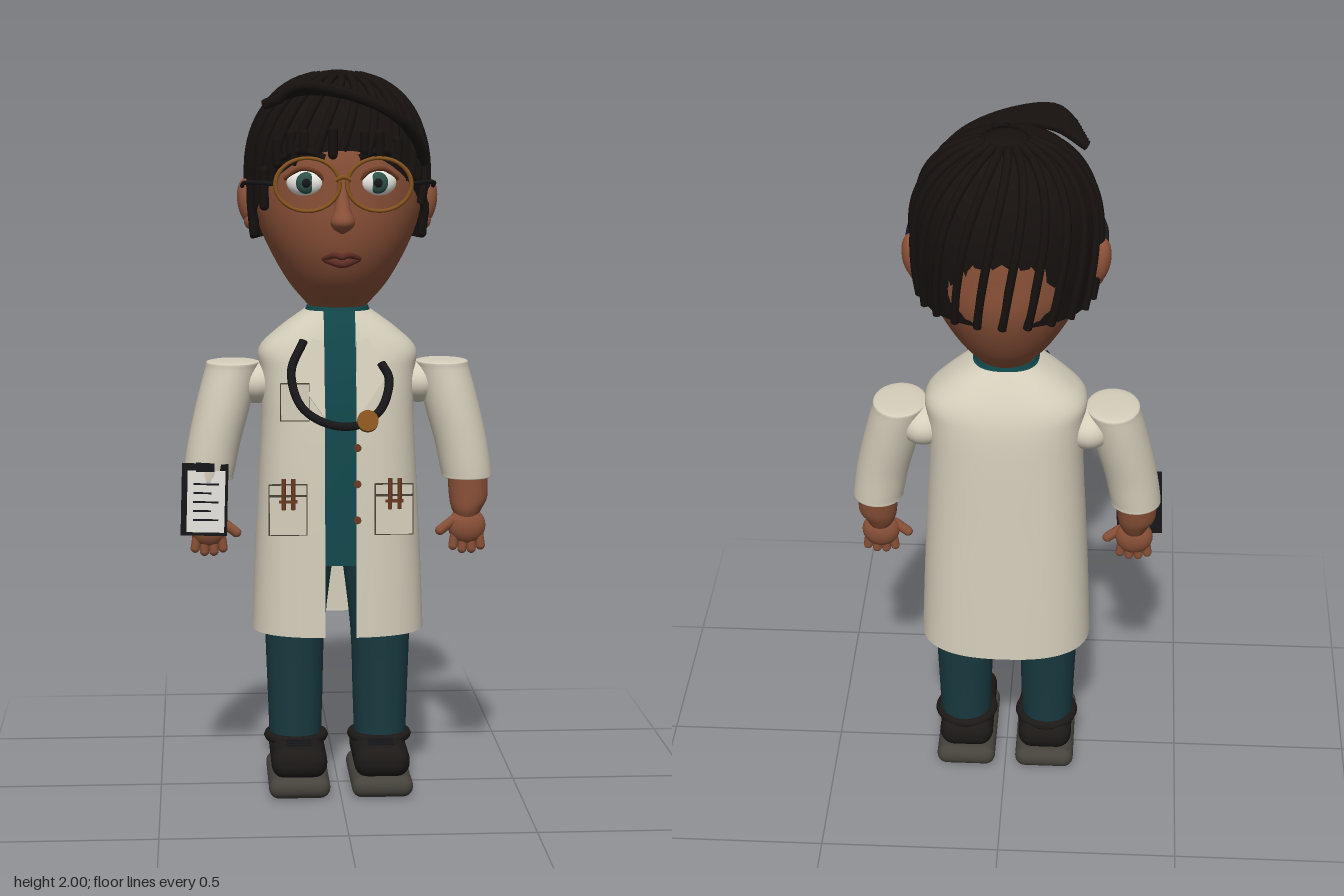
import * as THREE from 'three';
import { RoundedBoxGeometry } from 'three/addons/geometries/RoundedBoxGeometry.js';

const mat = (color) => new THREE.MeshStandardMaterial({ color, side: THREE.DoubleSide });
const M = {
  skin: mat(0x8a5138), coat: mat(0xd6cfbc), trim: mat(0x4a4438), shirt: mat(0x12484c), pants: mat(0x193a40),
  hair: mat(0x16110f), shoe: mat(0x1c1917), sole: mat(0x46433c), gold: mat(0x86541e), black: mat(0x17171a),
  white: mat(0xe8e6e0), iris: mat(0x2f5248), lip: mat(0x5c2a22), brown: mat(0x6b3a22),
};
const V = (x, y, z) => new THREE.Vector3(x, y, z);

export function createModel() {
  const model = new THREE.Group();
  const add = (name, geo, m, pos = [0, 0, 0], scale = [1, 1, 1], rot = [0, 0, 0], parent = model) => {
    const mesh = new THREE.Mesh(geo, m);
    mesh.name = name;
    mesh.position.set(...pos);
    mesh.scale.set(...scale);
    mesh.rotation.set(...rot);
    parent.add(mesh);
    return mesh;
  };
  const box = (w, h, d) => new THREE.BoxGeometry(w, h, d);
  const ball = new THREE.SphereGeometry(1, 24, 16);
  const tube = (pts, r, n = 24, sides = 8) =>
    new THREE.TubeGeometry(new THREE.CatmullRomCurve3(pts.map((p) => V(...p))), n, r, sides);

  // Grid surface from fn(u, v); u runs around, v upwards
  const surface = (fn, nu, nv, closed = true) => {
    const pos = [], idx = [], cols = closed ? nu : nu + 1;
    for (let j = 0; j <= nv; j++) for (let i = 0; i < cols; i++) pos.push(...fn(i / nu, j / nv));
    for (let j = 0; j < nv; j++) for (let i = 0; i < nu; i++) {
      const a = j * cols + i, b = j * cols + ((i + 1) % cols), c = a + cols, d = b + cols;
      idx.push(a, b, d, a, d, c);
    }
    const g = new THREE.BufferGeometry();
    g.setAttribute('position', new THREE.Float32BufferAttribute(pos, 3));
    g.setIndex(idx);
    g.computeVertexNormals();
    return g;
  };
  // Smooth interpolation through rows of numbers
  const along = (rows, v) => {
    const n = rows.length - 1, t = v * n, i = Math.min(Math.floor(t), n - 1), f = t - i;
    const at = (k) => rows[Math.min(Math.max(k, 0), n)];
    return rows[0].map((_, k) => {
      const [a, b, c, d] = [at(i - 1)[k], at(i)[k], at(i + 1)[k], at(i + 2)[k]];
      return b + 0.5 * f * (c - a + f * (2 * a - 5 * b + 4 * c - d + f * (3 * (b - c) + d - a)));
    });
  };
  // Loft through rings [cx, y, cz, rx, rz], listed upwards
  const loft = (rings, n = 28, steps = 4) => surface((u, v) => {
    const [cx, y, cz, rx, rz] = along(rings, v), t = u * Math.PI * 2;
    return [cx + rx * Math.sin(t), y, cz + rz * Math.cos(t)];
  }, n, (rings.length - 1) * steps);

  // Head and neck
  add('head', loft([
    [0, 1.33, -0.03, 0.06, 0.06], [0, 1.36, -0.03, 0.085, 0.09], [0, 1.42, -0.02, 0.135, 0.155],
    [0, 1.5, -0.02, 0.182, 0.2], [0, 1.58, -0.024, 0.217, 0.221], [0, 1.66, -0.025, 0.235, 0.223],
    [0, 1.76, -0.025, 0.235, 0.218], [0, 1.87, -0.025, 0.2, 0.18], [0, 1.95, -0.025, 0.12, 0.11], [0, 1.975, -0.025, 0, 0],
  ], 40), M.skin);
  add('neck', new THREE.CylinderGeometry(0.078, 0.09, 0.1, 24), M.skin, [0, 1.34, -0.03]);
  add('shirtCollar', new THREE.CylinderGeometry(0.085, 0.1, 0.06, 24), M.shirt, [0, 1.325, -0.03]);
  add('nose', loft([[0, 1.565, 0.195, 0.004, 0.004], [0, 1.58, 0.21, 0.026, 0.03], [0, 1.6, 0.215, 0.033, 0.037],
    [0, 1.63, 0.205, 0.023, 0.03], [0, 1.68, 0.192, 0.015, 0.018], [0, 1.74, 0.18, 0.01, 0.01]], 20), M.skin);
  add('upperLip', tube([[-0.05, 1.497, 0.165], [-0.018, 1.507, 0.187], [0, 1.502, 0.19], [0.018, 1.507, 0.187], [0.05, 1.497, 0.165]], 0.008), M.lip);
  add('lowerLip', tube([[-0.045, 1.495, 0.165], [0, 1.482, 0.187], [0.045, 1.495, 0.165]], 0.009), M.lip);

  // Eyes, brows, ears and spectacles, mirrored
  for (const s of [-1, 1]) {
    add('eyeball', ball, M.white, [s * 0.097, 1.7, 0.168], [0.052, 0.036, 0.028], [0, s * 0.3, 0]);
    add('iris', ball, M.iris, [s * 0.096, 1.7, 0.187], [0.027, 0.029, 0.014]);
    add('pupil', ball, M.black, [s * 0.096, 1.7, 0.194], [0.014, 0.015, 0.01]);
    add('upperEyelid', tube([[s * 0.045, 1.702, 0.185], [s * 0.07, 1.73, 0.193], [s * 0.11, 1.737, 0.185], [s * 0.152, 1.71, 0.155]], 0.006), M.brown);
    add('eyebrow', tube([[s * 0.045, 1.765, 0.188], [s * 0.1, 1.785, 0.178], [s * 0.16, 1.765, 0.143]], 0.01), M.hair);
    add('ear', ball, M.skin, [s * 0.245, 1.64, -0.03], [0.03, 0.065, 0.034], [0, 0, -s * 0.15]);
    add('earLobe', ball, M.skin, [s * 0.24, 1.59, -0.022], [0.018, 0.025, 0.02]);
    add('spectacleRim', new THREE.TorusGeometry(0.085, 0.006, 8, 40), M.gold, [s * 0.095, 1.698, 0.248], [1, 0.82, 1]);
    add('spectacleArm', tube([[s * 0.18, 1.7, 0.245], [s * 0.225, 1.7, 0.16], [s * 0.258, 1.695, 0.06], [s * 0.262, 1.68, -0.03]], 0.006), M.black);
  }
  add('spectacleBridge', tube([[-0.02, 1.71, 0.248], [0, 1.718, 0.253], [0.02, 1.71, 0.248]], 0.006), M.gold);

  // Hair cap: crown to a hairline that slopes up towards the face
  const hairPoint = (t, u, grow = 0) => {
    const zEdge = -0.025 + 0.225 * Math.cos(t);
    const low = Math.min(Math.max(1.54 + (zEdge + 0.02) * 1.12, 1.54), 1.785);
    const y = low + (1.985 - low) * Math.cos(u * Math.PI / 2), h = (y - 1.72) / 0.265;
    const r = h > 0 ? Math.pow(Math.max(1 - Math.pow(h, 2.25), 0), 1 / 2.25) : 1 - 0.14 * h * h;
    return [(0.243 * r + grow) * Math.sin(t), y + grow * Math.max(h, 0), -0.025 + (0.222 * r + grow) * Math.cos(t)];
  };
  add('hairCap', surface((u, v) => hairPoint(u * Math.PI * 2, 1 - v), 64, 20), M.hair);
  const strands = 22;
  for (let i = 0; i < strands; i++) {
    const pts = [];
    for (let k = 0; k <= 10; k++) {
      const u = 0.1 + 0.9 * k / 10;
      pts.push(hairPoint((i / strands) * Math.PI * 2 + 0.45 * (1 - u), u, 0.003));
    }
    add('hairStrand', tube(pts, 0.012, 26, 7), M.hair);
  }
  add('hairCrown', ball, M.hair, [0, 1.982, -0.03], [0.057, 0.017, 0.057]);

  // Raised fringe, a fan of strands sweeping to the left side
  for (let k = 0; k < 8; k++) {
    const f = k / 7;
    add('fringeStrand', tube([
      [-0.205 + 0.035 * f, 1.905 + 0.015 * f, 0.105 + 0.095 * f], [-0.12, 1.94 + 0.015 * f, 0.145 + 0.078 * f],
      [0, 1.935 + 0.005 * f, 0.165 + 0.065 * f], [0.13, 1.885, 0.15 + 0.06 * f],
      [0.2, 1.82, 0.1 + 0.05 * f], [0.228, 1.75, 0.07 + 0.03 * f],
    ], 0.014, 28, 7), M.hair);
  }
  // Short locks on the forehead and temples: [x, top, bottom, z]
  for (const [x, top, low, z] of [[-0.17, 1.82, 1.74, 0.14], [-0.135, 1.84, 1.77, 0.165], [-0.1, 1.84, 1.775, 0.18],
    [-0.025, 1.85, 1.765, 0.195], [0.06, 1.84, 1.775, 0.19], [0.1, 1.84, 1.765, 0.18], [0.15, 1.82, 1.75, 0.155],
    [-0.205, 1.74, 1.625, 0.1], [-0.23, 1.66, 1.545, 0.01], [0.23, 1.66, 1.545, 0.01], [0.21, 1.76, 1.7, 0.1]]) {
    add('shortLock', new THREE.CapsuleGeometry(0.013, top - low - 0.02, 4, 8), M.hair, [x, (top + low) / 2, z]);
  }

  // Coat rows [y, half width, front z, back z], open along the front
  const rows = [[0.45, 0.24, 0.145, -0.205], [0.65, 0.232, 0.143, -0.203], [0.85, 0.222, 0.139, -0.2], [1.05, 0.212, 0.13, -0.198],
    [1.17, 0.215, 0.115, -0.193], [1.235, 0.218, 0.1, -0.18], [1.29, 0.165, 0.085, -0.155], [1.345, 0.09, 0.065, -0.12]];
  const body = (t, row, k = 1) => {
    const [y, rx, zf, zb] = row, p = (a) => Math.sign(a) * Math.pow(Math.abs(a), 2 / 2.5), zc = (zf + zb) / 2;
    return [rx * k * p(Math.sin(t)), y, zc + ((zf - zb) / 2) * k * p(Math.cos(t))];
  };
  add('coat', surface((u, v) => {
    const row = along(rows, v), gap = Math.asin(Math.pow(0.043 / row[1], 1.25));
    return body(gap + u * (Math.PI * 2 - 2 * gap), row);
  }, 64, 35, false), M.coat);
  add('shirt', surface((u, v) => body(u * Math.PI * 2, along(rows.slice(1), v), 0.94), 48, 28), M.shirt);

  const plate = (pts, depth) => new THREE.ExtrudeGeometry(
    new THREE.Shape(pts.map((p) => new THREE.Vector2(...p))), { depth, bevelEnabled: false });
  for (const s of [-1, 1]) {
    // Lapel
    add('lapel', plate([[s * 0.045, 0.2], [s * 0.075, 0.21], [s * 0.105, 0.15], [s * 0.14, 0.12], [s * 0.1, 0.07], [s * 0.043, -0.01]], 0.008),
      M.coat, [0, 1.07, 0.145], [1, 1, 1], [-0.22, 0, 0]);
    // Hip pocket with pens
    add('pocketEdge', box(0.106, 0.142, 0.008), M.trim, [s * 0.145, 0.81, 0.146]);
    add('pocket', box(0.1, 0.136, 0.012), M.coat, [s * 0.145, 0.81, 0.148]);
    add('pocketHem', box(0.1, 0.006, 0.006), M.trim, [s * 0.145, 0.85, 0.153]);
    for (const dx of [-0.012, 0.014]) add('pen', new THREE.CylinderGeometry(0.006, 0.006, 0.085, 8), M.brown, [s * 0.145 + dx, 0.855, 0.16]);
    add('penClip', box(0.05, 0.008, 0.006), M.brown, [s * 0.145, 0.835, 0.161]);

    // Sleeve, forearm and hand
    add('sleeve', loft([[s * 0.385, 0.9, 0, 0.01, 0.01], [s * 0.362, 0.878, -0.008, 0.064, 0.068], [s * 0.36, 0.885, -0.008, 0.07, 0.075],
      [s * 0.345, 0.97, -0.012, 0.073, 0.08], [s * 0.318, 1.08, -0.022, 0.076, 0.088], [s * 0.294, 1.18, -0.033, 0.073, 0.09],
      [s * 0.29, 1.2, -0.033, 0.066, 0.082], [s * 0.28, 1.203, -0.033, 0, 0]], 32), M.coat);
    add('shoulder', ball, M.coat, [s * 0.225, 1.14, -0.045], [0.07, 0.06, 0.08]);
    add('forearm', loft([[s * 0.36, 0.76, 0.008, 0.03, 0.03], [s * 0.36, 0.785, 0.006, 0.042, 0.043],
      [s * 0.365, 0.82, 0, 0.054, 0.052], [s * 0.362, 0.9, -0.006, 0.056, 0.058]], 24), M.skin);
    add('palm', ball, M.skin, [s * 0.36, 0.738, 0.012], [0.053, 0.052, 0.034]);
    [-1.5, -0.5, 0.5, 1.5].forEach((k) => add('finger', new THREE.CapsuleGeometry(0.013, 0.045 - 0.006 * Math.abs(k), 4, 10), M.skin,
      [s * 0.36 + k * 0.024, 0.69 + 0.006 * Math.abs(k), 0.016], [1, 1, 1], [0, 0, k * 0.1]));
    add('thumb', new THREE.CapsuleGeometry(0.014, 0.045, 4, 10), M.skin, [s * 0.302, 0.74, 0.022], [1, 1, 1], [0, 0, -s * 0.9]);

    // Trouser leg and shoe
    add('trouserLeg', loft([[s * 0.12, 0.1, -0.022, 0.072, 0.08], [s * 0.12, 0.25, -0.025, 0.077, 0.083],
      [s * 0.12, 0.45, -0.03, 0.084, 0.092], [s * 0.108, 0.68, -0.03, 0.1, 0.11]], 28), M.pants);
    add('shoeSole', new RoundedBoxGeometry(0.17, 0.06, 0.325, 5, 0.029), M.sole, [s * 0.115, 0.03, 0.02]);
    add('shoeUpper', new RoundedBoxGeometry(0.155, 0.09, 0.3, 6, 0.042), M.shoe, [s * 0.115, 0.096, 0.025]);
    add('shoeCuff', new THREE.TorusGeometry(0.077, 0.014, 8, 28), M.shoe, [s * 0.118, 0.135, -0.022], [1, 1.05, 1], [Math.PI / 2, 0, 0]);
    for (let k = 0; k < 3; k++) add('shoeLace', box(0.07, 0.008, 0.012), M.black, [s * 0.115, 0.141, 0.075 + 0.025 * k]);
  }

  // Chest pocket and buttons
  add('chestPocketEdge', box(0.08, 0.104, 0.006), M.trim, [-0.125, 1.105, 0.136]);
  add('chestPocket', box(0.075, 0.098, 0.01), M.coat, [-0.125, 1.105, 0.138]);
  for (const y of [0.78, 0.88, 0.98]) {
    add('button', new THREE.CylinderGeometry(0.01, 0.01, 0.012, 14), M.brown, [0.045, y, 0.15], [1, 1, 1], [Math.PI / 2, 0, 0]);
  }

  // Stethoscope
  add('stethoscopeTube', tube([[-0.1, 1.27, 0.11], [-0.135, 1.19, 0.145], [-0.11, 1.1, 0.185], [-0.04, 1.055, 0.205],
    [0.04, 1.05, 0.205], [0.105, 1.09, 0.185], [0.13, 1.17, 0.15], [0.11, 1.21, 0.13]], 0.012, 48), M.black);
  add('stethoscopeDisc', new THREE.CylinderGeometry(0.029, 0.029, 0.018, 24), M.gold, [0.068, 1.062, 0.21], [1, 1, 1], [1.2, 0, 0]);

  // Clipboard in the right hand
  const board = new THREE.Group();
  board.name = 'clipboard';
  board.position.set(-0.372, 0.825, 0.055);
  board.rotation.z = -0.03;
  model.add(board);
  const part = (name, w, h, d, m, x, y, z) => add(name, box(w, h, d), m, [x, y, z], [1, 1, 1], [0, 0, 0], board);
  part('clipboardBacking', 0.128, 0.2, 0.014, M.black, 0, 0, 0);
  part('clipboardPaper', 0.104, 0.172, 0.006, M.white, 0.004, -0.004, 0.008);
  part('clipboardClip', 0.05, 0.024, 0.014, M.black, 0, 0.092, 0.01);
  for (let k = 0; k < 5; k++) part('paperLine', k % 2 ? 0.05 : 0.07, 0.005, 0.003, M.black, k % 2 ? -0.006 : 0.004, 0.045 - k * 0.025, 0.011);

  return model;
}
